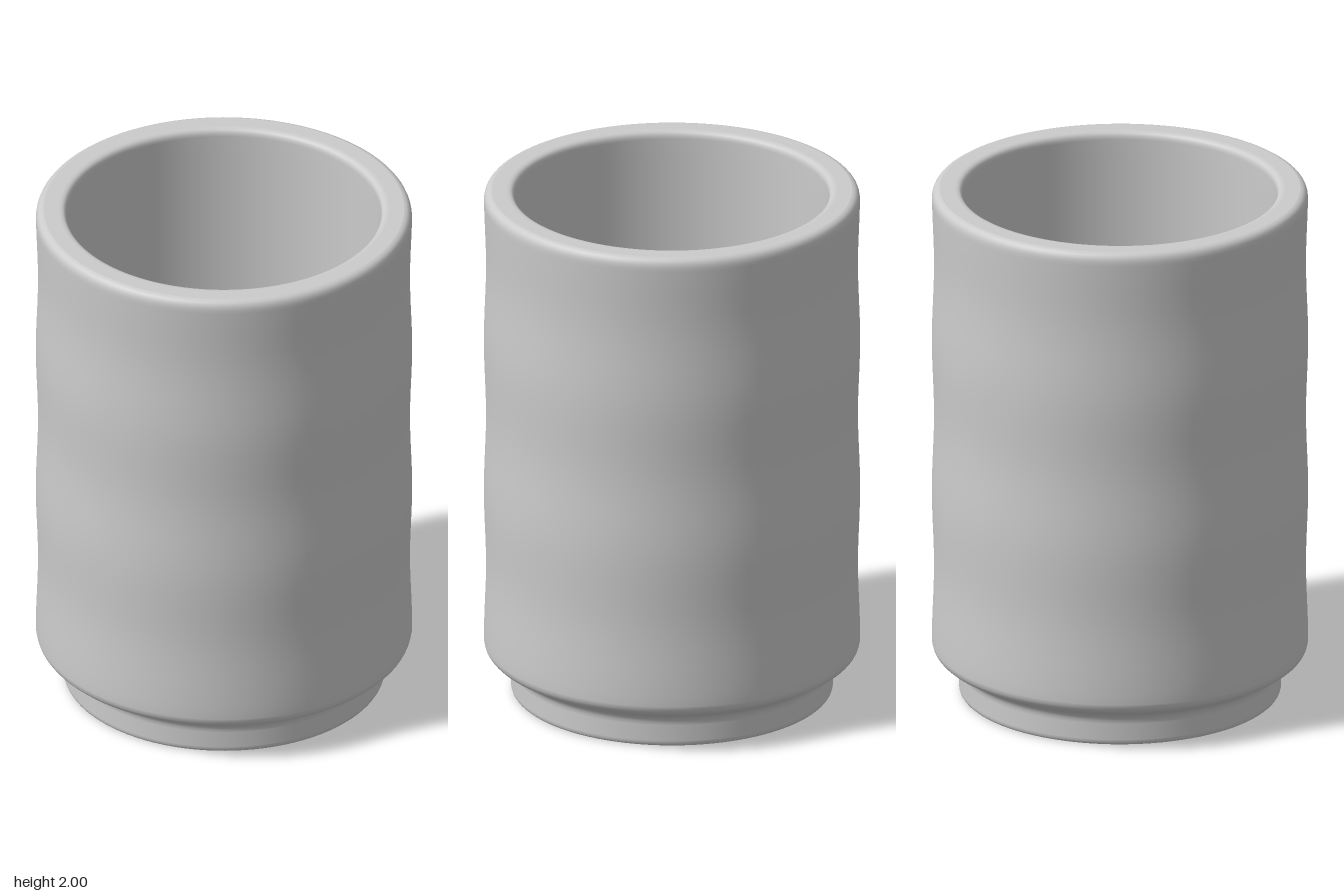
import * as THREE from 'three';

// Straight run between two profile points, with support points near its ends
// so the smooth normals stay flat along it
function run(points, x0, y0, x1, y1) {
  for (const t of [0, 0.04, 0.5, 0.96, 1]) {
    points.push(new THREE.Vector2(x0 + (x1 - x0) * t, y0 + (y1 - y0) * t));
  }
}

// Rounded corner from the last profile point
function bend(points, cx, cy, x, y, steps = 6) {
  const curve = new THREE.QuadraticBezierCurve(
    points[points.length - 1].clone(), new THREE.Vector2(cx, cy), new THREE.Vector2(x, y));
  points.push(...curve.getPoints(steps).slice(1, -1));
}

export function createModel() {
  const group = new THREE.Group();
  group.name = 'cup';
  const material = new THREE.MeshStandardMaterial({ color: 0xcccccc });
  const p = [];

  // Recessed underside and foot ring
  run(p, 0, 0.04, 0.46, 0.04);
  bend(p, 0.5, 0.04, 0.515, 0.01);
  p.push(new THREE.Vector2(0.515, 0.01));
  bend(p, 0.52, 0, 0.54, 0);
  run(p, 0.54, 0, 0.585, 0);
  bend(p, 0.6, 0, 0.602, 0.02);
  run(p, 0.602, 0.02, 0.602, 0.09);

  // Flare from the foot to the body
  bend(p, 0.603, 0.115, 0.625, 0.13);
  run(p, 0.625, 0.13, 0.675, 0.157);
  bend(p, 0.702, 0.172, 0.702, 0.2);

  // Gently rippled outer wall
  for (let i = 0; i <= 48; i++) {
    const y = 0.2 + (1.95 - 0.2) * i / 48;
    p.push(new THREE.Vector2(0.699 + 0.004 * Math.cos((y - 0.2) / 0.6 * Math.PI * 2), y));
  }

  // Rounded rim
  bend(p, 0.706, 1.995, 0.675, 2);
  run(p, 0.675, 2, 0.615, 2);
  bend(p, 0.588, 2, 0.588, 1.97);

  // Inner wall and floor
  run(p, 0.588, 1.97, 0.588, 0.28);
  bend(p, 0.588, 0.18, 0.48, 0.18, 8);
  run(p, 0.48, 0.18, 0, 0.18);

  const body = new THREE.Mesh(new THREE.LatheGeometry(p, 96), material);
  body.name = 'cupBody';
  group.add(body);
  return group;
}
